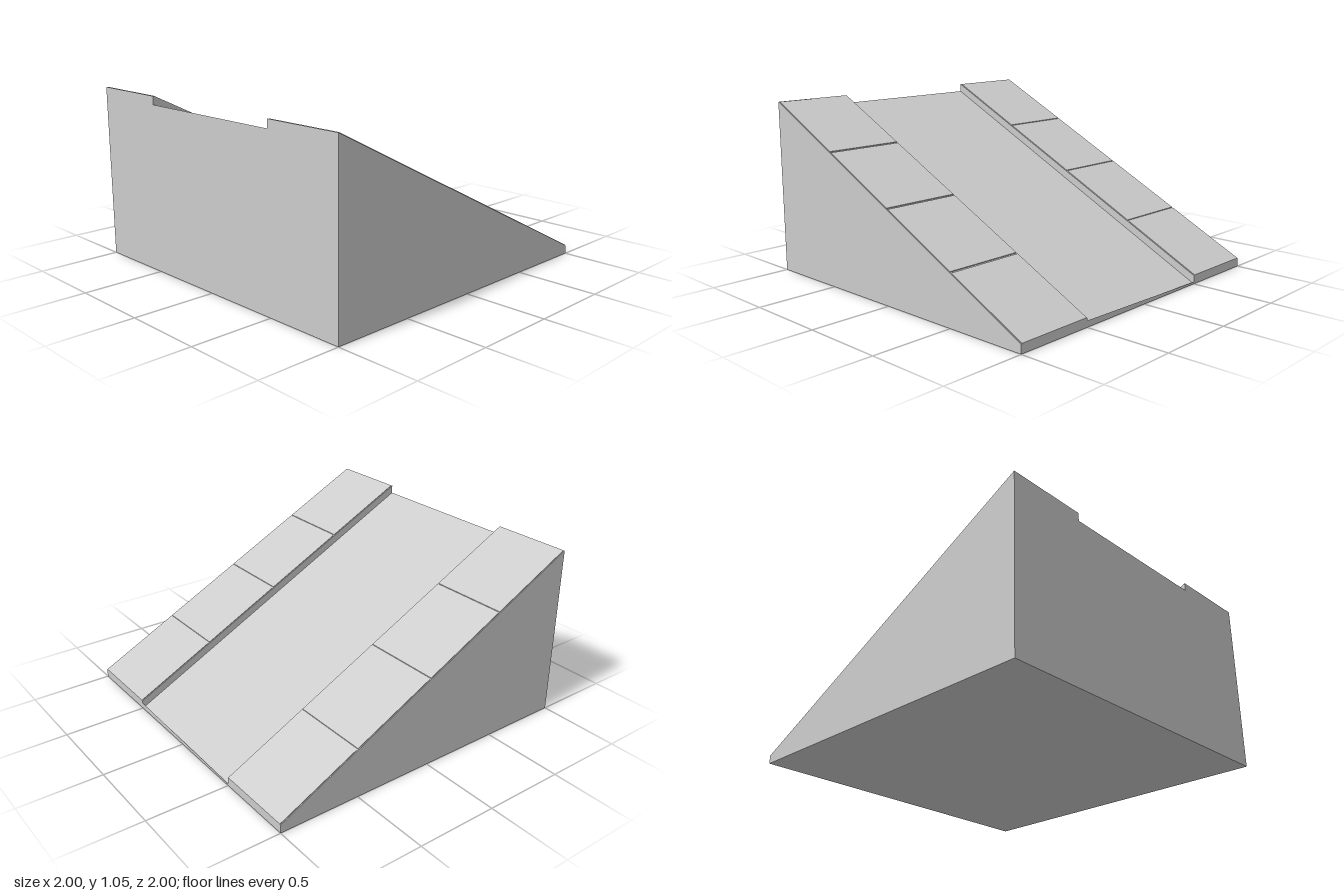
import * as THREE from 'three';

const material = new THREE.MeshStandardMaterial({ color: 0xcccccc, flatShading: true });

// Lower everything above the ground along the slope: full height at z = 1, one unit less at z = -1
function slope(geometry) {
  const p = geometry.attributes.position;
  for (let i = 0; i < p.count; i++) {
    if (p.getY(i) > 0.001) p.setY(i, p.getY(i) - (1 - p.getZ(i)) / 2);
  }
  geometry.computeVertexNormals();
  return geometry;
}

function addPart(group, name, geometry) {
  const mesh = new THREE.Mesh(geometry, material);
  mesh.name = name;
  group.add(mesh);
}

export function createModel() {
  const group = new THREE.Group();
  group.name = 'roadRamp';

  // Ramp body: road surface with a raised kerb on each side
  const outline = new THREE.Shape([
    [-1, 0], [1, 0], [1, 1.05], [0.5, 1.05], [0.5, 1],
    [-0.5, 1], [-0.5, 1.05], [-1, 1.05],
  ].map(([x, y]) => new THREE.Vector2(x, y)));
  const body = new THREE.ExtrudeGeometry(outline, { depth: 2, bevelEnabled: false });
  body.translate(0, 0, -1);
  addPart(group, 'rampBody', slope(body));

  // Pavement slabs, four per side, separated by narrow joints
  const thickness = 0.005;
  for (const side of [-1, 1]) {
    for (let i = 0; i < 4; i++) {
      const slab = new THREE.BoxGeometry(0.49, thickness, 0.49);
      slab.translate(side * 0.75, 1.05 + thickness / 2, -1 + i * 0.5 + 0.245);
      addPart(group, side > 0 ? 'leftPavementSlab' : 'rightPavementSlab', slope(slab));
    }
  }
  return group;
}
